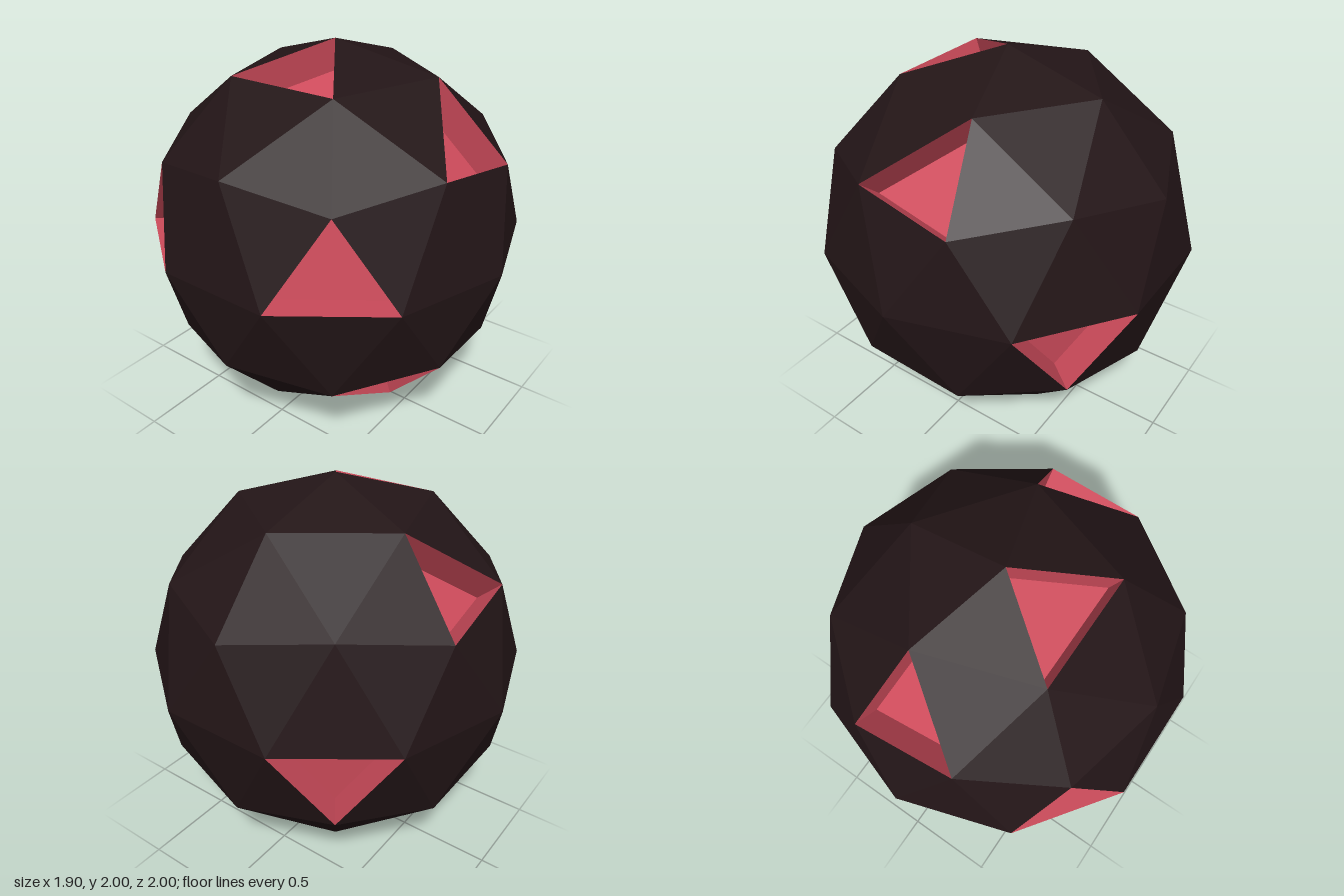
import * as THREE from 'three';

const DEPTH = 0.17; // how far each triangular pocket sinks into the ball

// Directions of the pocket centres on the +z half and the middle; mirrored in z
const POCKETS = [
  [0.06, 0.61, 0.72], [-0.28, 0.90, 0], [-0.75, 0.15, 0.55],
  [0.75, -0.15, 0.55], [-0.375, -0.61, 0.62], [0.57, -0.74, 0],
].map((p) => new THREE.Vector3(...p));

function meshFrom(points, name, color) {
  const geometry = new THREE.BufferGeometry().setFromPoints(points);
  geometry.computeVertexNormals();
  const material = new THREE.MeshStandardMaterial({ color, flatShading: true });
  const mesh = new THREE.Mesh(geometry, material);
  mesh.name = name;
  return mesh;
}

// Floor and three walls of a pocket sunk straight in below one face
function pocketPoints(face, normal) {
  const floor = face.map((v) => v.clone().addScaledVector(normal, -DEPTH));
  const points = [...floor];
  for (let i = 0; i < 3; i++) {
    const j = (i + 1) % 3;
    points.push(face[i], face[j], floor[j], face[i], floor[j], floor[i]);
  }
  return points;
}

export function createModel() {
  const group = new THREE.Group();
  group.name = 'facetedBall';

  // Once-divided icosahedron, turned so that one corner points straight up
  const ball = new THREE.IcosahedronGeometry(1, 1);
  ball.rotateZ(-Math.atan(2 / (1 + Math.sqrt(5))));
  const pos = ball.getAttribute('position');

  const shell = [];
  const pockets = new THREE.Group();
  pockets.name = 'pockets';

  for (let i = 0; i < pos.count; i += 3) {
    const face = [0, 1, 2].map((k) => new THREE.Vector3().fromBufferAttribute(pos, i + k));
    const centre = new THREE.Vector3();
    face.forEach((v) => centre.addScaledVector(v, 1 / 3));
    const mirrored = new THREE.Vector3(centre.x, centre.y, Math.abs(centre.z));
    if (POCKETS.some((p) => p.distanceTo(mirrored) < 0.08)) {
      const normal = new THREE.Triangle(...face).getNormal(new THREE.Vector3());
      pockets.add(meshFrom(pocketPoints(face, normal), 'pocket', 0xd04c5c));
    } else {
      shell.push(...face);
    }
  }

  group.add(meshFrom(shell, 'shell', 0x231517), pockets);
  group.children.forEach((part) => { part.position.y = 1; });
  return group;
}
